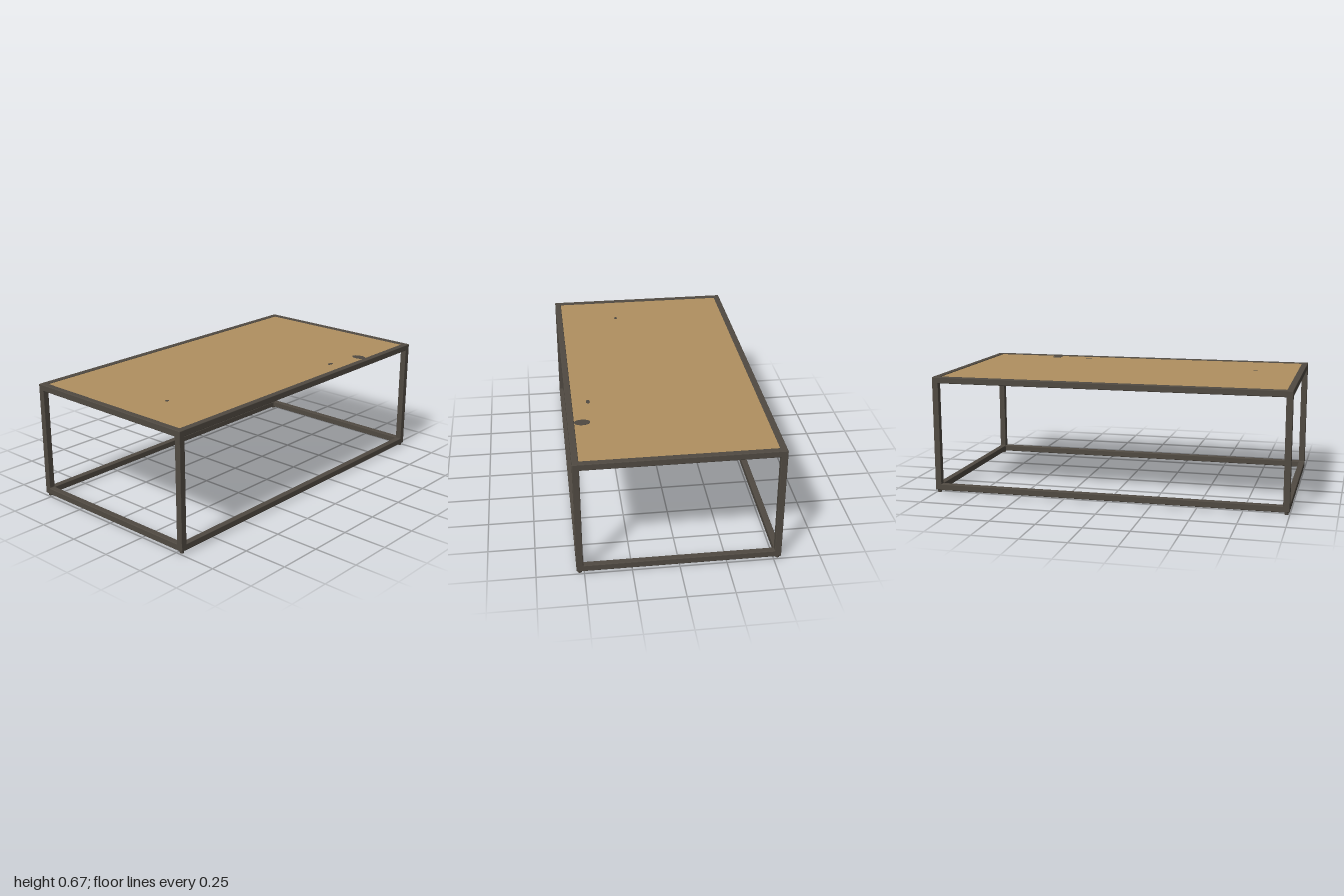
import * as THREE from 'three';
import { RoundedBoxGeometry } from 'three/addons/geometries/RoundedBoxGeometry.js';

const metal = new THREE.MeshStandardMaterial({ color: 0x504a42 });
metal.name = 'dark metal';
const wood = new THREE.MeshStandardMaterial({ color: 0xb09060 });
wood.name = 'oak';

const HX = 1, HZ = 0.54, BAR = 0.035, Y0 = 0.015, Y1 = 0.665;

function add(group, name, geometry, material, x = 0, y = 0, z = 0) {
  const mesh = new THREE.Mesh(geometry, material);
  mesh.name = name;
  mesh.position.set(x, y, z);
  group.add(mesh);
  return mesh;
}

// Rectangle outline with optional rounded corners, traced in the (z, y) plane
function roundedRect(path, w, h, r) {
  path.moveTo(-w + r, -h);
  path.lineTo(w - r, -h);
  path.absarc(w - r, -h + r, r, -Math.PI / 2, 0);
  path.lineTo(w, h - r);
  path.absarc(w - r, h - r, r, 0, Math.PI / 2);
  path.lineTo(-w + r, h);
  path.absarc(-w + r, h - r, r, Math.PI / 2, Math.PI);
  path.lineTo(-w, -h + r);
  path.absarc(-w + r, -h + r, r, Math.PI, Math.PI * 1.5);
  return path;
}

// End frame: two legs and two cross rails in one softly bevelled loop
function endFrameGeometry() {
  const bevel = 0.003, h = (Y1 - Y0) / 2;
  const shape = roundedRect(new THREE.Shape(), HZ - bevel, h - bevel, 0.002);
  shape.holes.push(roundedRect(new THREE.Path(), HZ - BAR + bevel, h - BAR + bevel, 0.008));
  const geometry = new THREE.ExtrudeGeometry(shape, {
    depth: BAR - 2 * bevel, bevelEnabled: true, bevelSize: bevel,
    bevelThickness: bevel, bevelSegments: 2, curveSegments: 4,
  });
  geometry.center();
  geometry.rotateY(Math.PI / 2);
  return geometry;
}

export function createModel() {
  const table = new THREE.Group();
  table.name = 'coffeeTable';

  const endFrame = endFrameGeometry();
  const rail = new RoundedBoxGeometry(2 * HX - 2 * BAR + 0.02, BAR, BAR, 3, 0.004);
  const foot = new THREE.LatheGeometry([
    [0, 0], [0.008, 0], [0.011, 0.003], [0.011, 0.018],
  ].map(([r, y]) => new THREE.Vector2(r, y)), 16);

  for (const sx of [-1, 1]) {
    add(table, 'endFrame', endFrame, metal, sx * (HX - BAR / 2), (Y0 + Y1) / 2, 0);
    for (const sz of [-1, 1]) {
      add(table, 'foot', foot, metal, sx * 0.983, 0, sz * 0.523);
    }
  }

  // Long rails, front and back, top and bottom
  for (const sz of [-1, 1]) {
    for (const y of [Y0 + BAR / 2, Y1 - BAR / 2]) {
      add(table, 'longRail', rail, metal, 0, y, sz * (HZ - BAR / 2));
    }
  }

  // Wooden top set into the frame
  const low = 0.638, high = 0.661;
  const panelGeometry = new THREE.BoxGeometry(2 * (HX - BAR) + 0.004, high - low, 2 * (HZ - BAR) + 0.004);
  add(table, 'tabletop', panelGeometry, wood, 0, (low + high) / 2, 0);

  // Dark knots in the wood: x, z, half width, half depth
  const knots = [[0.58, 0.463, 0.029, 0.043], [0.36, 0.418, 0.019, 0.011], [-0.72, 0.17, 0.012, 0.01]];
  for (const [x, z, rx, rz] of knots) {
    const disc = new THREE.CylinderGeometry(1, 1, 0.001, 20);
    disc.scale(rx, 1, rz);
    add(table, 'knotTop', disc, metal, x, high + 0.0005, z);
    add(table, 'knotUnderside', disc, metal, -x, low - 0.0005, z);
  }

  return table;
}
